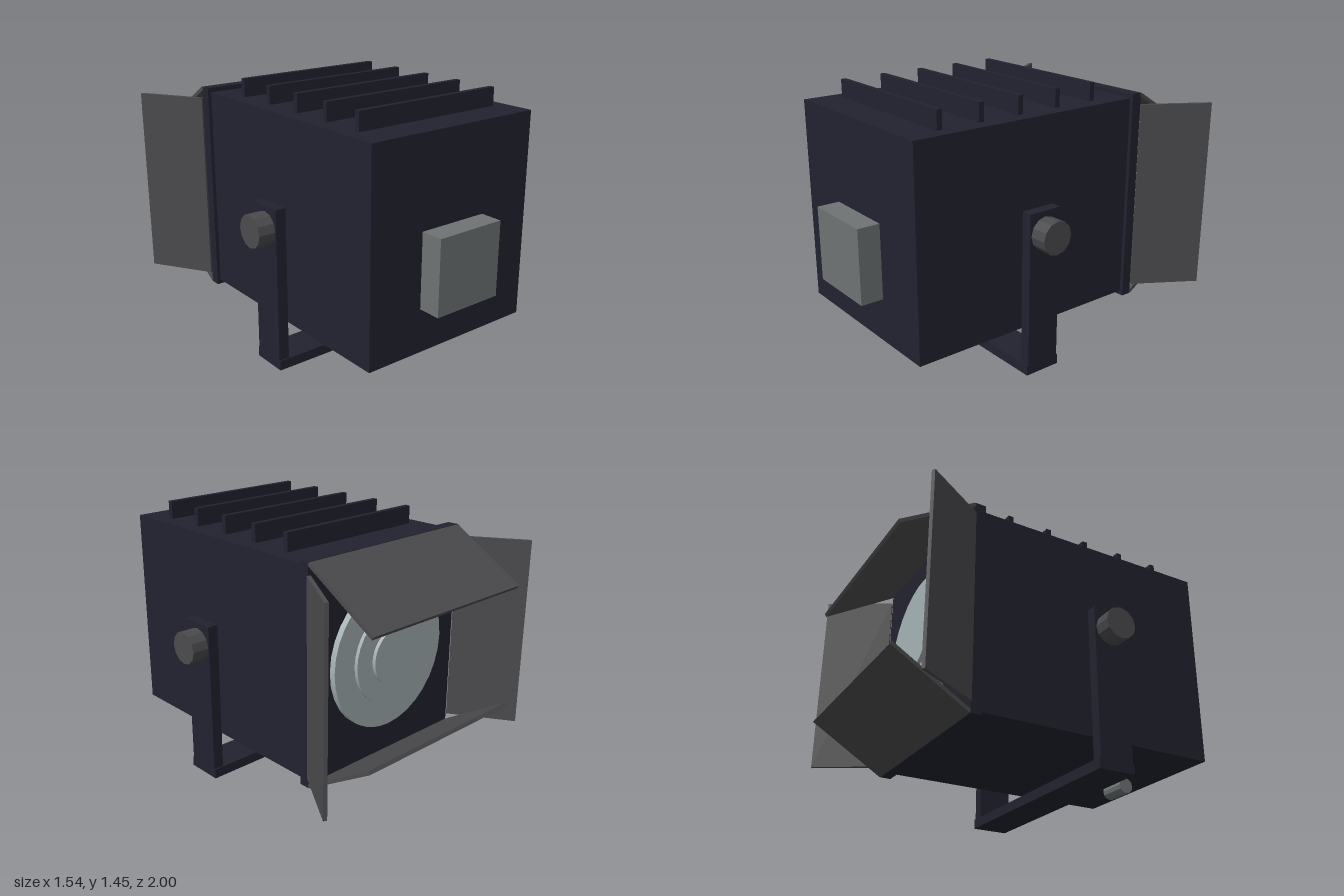
import * as THREE from 'three';

export function createModel() {
  const model = new THREE.Group();
  model.name = 'studioSpotlight';

  const material = (name, color) => {
    const m = new THREE.MeshStandardMaterial({ color });
    m.name = name;
    return m;
  };
  const housing = material('darkHousing', 0x222230);
  const metal = material('charcoalMetal', 0x4b4b4e);
  const grey = material('midGrey', 0x6e7374);
  const glass = material('lensGlass', 0xa6b2b6);

  const add = (name, geometry, mat, x, y, z) => {
    const mesh = new THREE.Mesh(geometry, mat);
    mesh.name = name;
    mesh.position.set(x, y, z);
    model.add(mesh);
    return mesh;
  };
  const box = (name, mat, w, h, d, x, y, z) =>
    add(name, new THREE.BoxGeometry(w, h, d), mat, x, y, z);
  // Faceted cylinder lying along x
  const rod = (name, mat, radius, length, sides, x, y, z) => {
    const g = new THREE.CylinderGeometry(radius, radius, length, sides).toNonIndexed();
    g.computeVertexNormals();
    g.rotateZ(Math.PI / 2);
    return add(name, g, mat, x, y, z);
  };

  // Housing and the frame around the lens
  box('housing', housing, 1.06, 1.14, 1.395, 0, 0.78, 0.178);
  box('lensFrame', housing, 1.1, 1.19, 0.06, 0, 0.78, -0.546);

  // Cooling fins on the top
  for (let i = 0; i < 5; i++) {
    box('coolingFin', housing, 0.9, 0.12, 0.03, 0, 1.39, 0.675 - i * 0.245);
  }

  // Control box and focus handle
  box('controlBox', grey, 0.41, 0.41, 0.13, 0, 0.655, 0.935);
  rod('focusHandle', grey, 0.045, 0.16, 12, 0, 0.165, 0.675);

  // Stepped lens: three stacked discs
  [[0.405, -0.61], [0.265, -0.63], [0.155, -0.65]].forEach(([radius, z]) => {
    const depth = -0.56 - z;
    const disc = new THREE.CylinderGeometry(radius, radius, depth, 32).rotateX(Math.PI / 2);
    add('lensStep', disc, glass, 0, 0.78, z + depth / 2);
  });

  // Yoke with tilt knobs
  box('yokeBase', housing, 1.3, 0.055, 0.21, 0, 0.0275, 0.185);
  for (const s of [1, -1]) {
    box('yokeArm', housing, 0.06, 0.86, 0.195, s * 0.62, 0.47, 0.185);
    rod('tiltKnob', metal, 0.09, 0.1, 12, s * 0.695, 0.78, 0.185);
  }

  // Barn doors: sides flare out, top and bottom tilt in
  for (const s of [1, -1]) {
    box('sideDoor', metal, 0.02, 1.065, 0.395, s * 0.655, 0.778, -0.748).rotation.y = -s * 0.558;
    box('hingedDoor', metal, 1.1, 0.02, 0.485, 0, 0.78 + s * 0.46, -0.783).rotation.x = -s * 0.548;
  }

  return model;
}
